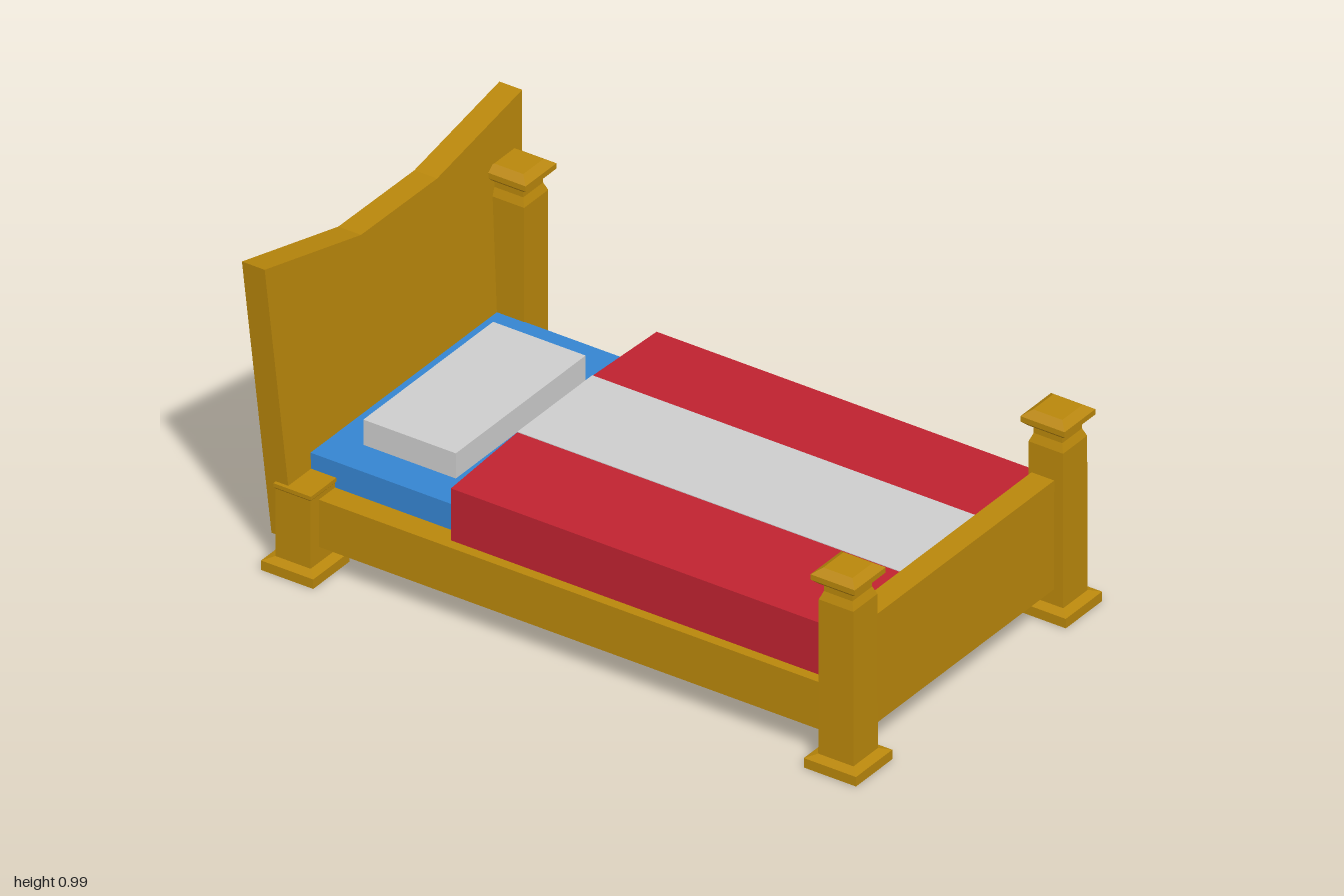
import * as THREE from 'three';

const mat = (name, color) => {
  const m = new THREE.MeshStandardMaterial({ color });
  m.name = name;
  return m;
};

export function createModel() {
  const wood = mat('goldenWood', 0xb8860b);
  const blue = mat('blueSheet', 0x3584d0);
  const red = mat('redBlanket', 0xbe2230);
  const white = mat('paleLinen', 0xcccccc);

  const bed = new THREE.Group();
  bed.name = 'bed';

  const add = (name, geometry, material) => {
    const mesh = new THREE.Mesh(geometry, material);
    mesh.name = name;
    bed.add(mesh);
    return mesh;
  };

  // box given by its lower and upper limits on each axis
  const box = (name, material, [x0, x1], [y0, y1], [z0, z1]) => {
    const g = new THREE.BoxGeometry(x1 - x0, y1 - y0, z1 - z0);
    g.translate((x0 + x1) / 2, (y0 + y1) / 2, (z0 + z1) / 2);
    return add(name, g, material);
  };

  // outline of [z, y] points, extruded from x0 to x1
  const slab = (outline, x0, x1) => {
    const shape = new THREE.Shape(outline.map(([z, y]) => new THREE.Vector2(z, y)));
    const g = new THREE.ExtrudeGeometry(shape, { depth: x1 - x0, bevelEnabled: false });
    return g.rotateY(-Math.PI / 2).translate(x1, 0, 0);
  };

  // four-sided turned piece from [half width, y] points
  const squareTurned = (name, profile, x, z) => {
    const pts = profile.map(([w, y]) => new THREE.Vector2(w * Math.SQRT2, y));
    const g = new THREE.LatheGeometry(pts, 4, Math.PI / 4).toNonIndexed();
    g.computeVertexNormals();
    add(name, g, wood).position.set(x, 0, z);
  };

  const foot = [[0, 0], [0.086, 0], [0.086, 0.03], [0.058, 0.04]];
  const finial = (top) => [
    [0.057, top - 0.1], [0.047, top - 0.075], [0.047, top - 0.055],
    [0.057, top - 0.05], [0.073, top - 0.035], [0.073, top - 0.018],
    [0.048, top], [0, top],
  ];

  // posts at the foot end
  squareTurned('footPostLeft', [...foot, ...finial(0.63)], 0.912, 0.486);
  squareTurned('footPostRight', [...foot, ...finial(0.63)], 0.912, -0.508);

  // posts at the head end: sturdy bases, one with a tall upper shaft
  const stub = [...foot, [0.058, 0.255], [0.062, 0.26], [0.062, 0.272], [0, 0.272]];
  squareTurned('headPostBaseFront', stub, -0.876, 0.488);
  squareTurned('headPostBaseBack', stub, -0.876, -0.512);
  squareTurned('headPostTall', [[0.057, 0.1], ...finial(0.785)], -0.866, -0.51);

  // headboard: dipped top edge, tapering and leaning backwards
  const board = slab([
    [-0.56, 0.09], [0.52, 0.09], [0.61, 0.985],
    [0.16, 0.87], [-0.2, 0.867], [-0.608, 0.942],
  ], -0.965, -0.89);
  const p = board.attributes.position;
  for (let i = 0; i < p.count; i++) p.setX(i, p.getX(i) - 0.039 * (p.getY(i) - 0.09));
  board.computeVertexNormals();
  add('headboard', board, wood);

  // footboard, side rails and underside
  box('footboard', wood, [0.865, 0.94], [0.09, 0.435], [-0.5, 0.48]);
  box('railFront', wood, [-0.9, 0.9], [0.09, 0.24], [0.43, 0.507]);
  box('railBack', wood, [-0.9, 0.9], [0.09, 0.24], [-0.53, -0.455]);
  box('basePanel', wood, [-0.91, 0.87], [0.115, 0.15], [-0.46, 0.44]);

  // bedding
  box('mattress', blue, [-0.905, 0.855], [0.15, 0.322], [-0.455, 0.43]);
  box('pillow', white, [-0.805, -0.5], [0.322, 0.402], [-0.3, 0.315]);
  add('blanket', slab([
    [-0.5, 0.24], [0.475, 0.24], [0.475, 0.405],
    [0.16, 0.424], [-0.195, 0.424], [-0.5, 0.41],
  ], -0.405, 0.865), red);
  box('blanketStripe', white, [-0.405, 0.865], [0.422, 0.426], [-0.195, 0.16]);

  return bed;
}
